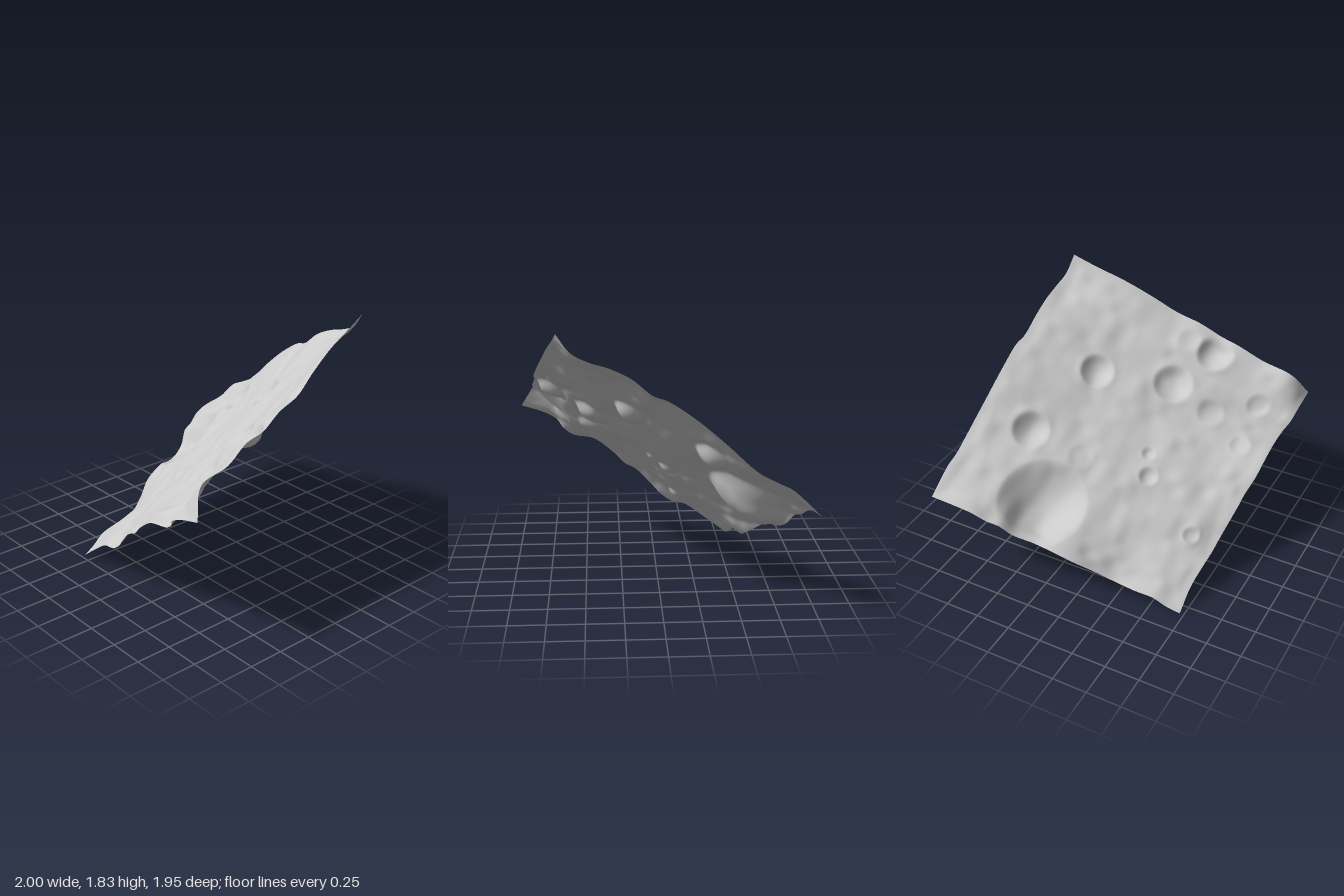
import * as THREE from 'three';

const V = (p) => new THREE.Vector3(...p);

// Outline of the ground patch: four uneven edges that share their corners.
const edge = (pts) => new THREE.CatmullRomCurve3(pts.map(V));
const backEdge = edge([[-1, .69, -.98], [-.82, .855, -.95], [-.74, .895, -.94], [-.6, .97, -.94], [-.39, 1.155, -.905],
  [-.2, 1.31, -.88], [-.03, 1.42, -.865], [.06, 1.45, -.85], [.195, 1.555, -.83], [.33, 1.62, -.825], [.46, 1.66, -.82],
  [.57, 1.715, -.8], [.66, 1.83, -.78]]);
const frontEdge = edge([[-.58, 0, .72], [-.42, .12, .725], [-.26, .225, .755], [-.165, .245, .76], [-.07, .31, .775],
  [.01, .395, .8], [.125, .5, .83], [.195, .535, .835], [.3, .63, .87], [.445, .73, .89], [.595, .76, .89],
  [.675, .81, .91], [.73, .875, .945], [.835, .93, .96], [1, .98, .97]]);
const rightEdge = edge([[-1, .69, -.98], [-.97, .64, -.7], [-.935, .575, -.59], [-.91, .545, -.51], [-.86, .455, -.43],
  [-.81, .4, -.305], [-.8, .37, -.15], [-.77, .315, -.02], [-.7, .225, .11], [-.65, .15, .24], [-.64, .12, .4],
  [-.62, .095, .53], [-.6, .035, .63], [-.58, 0, .72]]);
const leftEdge = edge([[.66, 1.83, -.78], [.69, 1.76, -.61], [.73, 1.68, -.4], [.775, 1.58, -.2], [.82, 1.475, -.015],
  [.84, 1.42, .16], [.865, 1.34, .32], [.865, 1.3, .46], [.895, 1.21, .64], [.905, 1.15, .86], [1, .98, .97]]);

const corners = [backEdge.getPoint(0), backEdge.getPoint(1), frontEdge.getPoint(0), frontEdge.getPoint(1)];
const normal = V([-.544, .721, .429]).normalize();
const SIDE = 1.95;

// Craters: u, v, radius, depth
const craters = [
  [.142, .36, .315, .1], [.357, .19, .13, .055], [.66, .288, .12, .055], [.757, .552, .14, .05],
  [.93, .62, .125, .05], [.73, .725, .1, .018], [.405, .645, .07, .026], [.48, .605, .05, .018],
  [.355, .395, .09, .012], [.28, .895, .065, .022], [.845, .862, .085, .02], [.668, .885, .08, .014], [.925, .515, .08, .012],
];

// Smooth value noise from a fixed hash
const hash = (i, j) => { const s = Math.sin(i * 127.1 + j * 311.7) * 43758.5453; return s - Math.floor(s); };
function noise(x, y) {
  const i = Math.floor(x), j = Math.floor(y);
  const a = THREE.MathUtils.smoothstep(x - i, 0, 1), b = THREE.MathUtils.smoothstep(y - j, 0, 1);
  const { lerp } = THREE.MathUtils;
  return lerp(lerp(hash(i, j), hash(i + 1, j), a), lerp(hash(i, j + 1), hash(i + 1, j + 1), a), b) - .5;
}

// Soft bowl with a low raised rim
function craterHeight(u, v) {
  let h = 0;
  for (const [cu, cv, r, d] of craters) {
    const t = Math.hypot(u - cu, v - cv) * SIDE / r;
    if (t < 1) h -= d * (1 - t * t) ** 1.3;
    h += .12 * d * Math.exp(-(((t - 1) / .28) ** 2));
  }
  return h;
}

const bilinear = (u, v) => corners[0].clone().lerp(corners[1], u).lerp(corners[2].clone().lerp(corners[3], u), v);

function surfacePoint(u, v, edges) {
  const p = bilinear(u, v);
  // Pull the rim of the patch onto its uneven edges
  for (const [offset, distance, reach] of edges) p.addScaledVector(offset, Math.exp(-((distance / reach) ** 2)));
  // Gentle swell, craters and roughness along the normal
  const swell = .02 * 16 * u * (1 - u) * v * (1 - v);
  const inside = THREE.MathUtils.smoothstep(Math.min(u, 1 - u, v, 1 - v), 0, .05);
  const rough = .028 * noise(u * 9, v * 9) + .016 * noise(u * 20 + 5, v * 20 + 9);
  return p.addScaledVector(normal, swell + inside * (craterHeight(u, v) + rough));
}

export function createModel() {
  const group = new THREE.Group();
  group.name = 'crateredGround';
  const N = 140;
  const geometry = new THREE.PlaneGeometry(1, 1, N, N);
  const position = geometry.attributes.position;

  // Offset of each edge from the straight line between its corners
  const offsets = (curve, line) => curve.getSpacedPoints(N).map((p, i) => p.sub(line(i / N)));
  const back = offsets(backEdge, (t) => bilinear(t, 0)), front = offsets(frontEdge, (t) => bilinear(t, 1));
  const right = offsets(rightEdge, (t) => bilinear(0, t)), left = offsets(leftEdge, (t) => bilinear(1, t));

  for (let j = 0; j <= N; j++) {
    for (let i = 0; i <= N; i++) {
      const u = i / N, v = j / N;
      const p = surfacePoint(u, v, [[back[i], v, .17], [front[i], 1 - v, .11], [right[j], u, .15], [left[j], 1 - u, .11]]);
      position.setXYZ(j * (N + 1) + i, p.x, p.y, p.z);
    }
  }
  geometry.computeVertexNormals();

  const ground = new THREE.Mesh(geometry, new THREE.MeshStandardMaterial({ color: 0xcccccc, side: THREE.DoubleSide }));
  ground.name = 'groundSurface';
  group.add(ground);
  return group;
}
